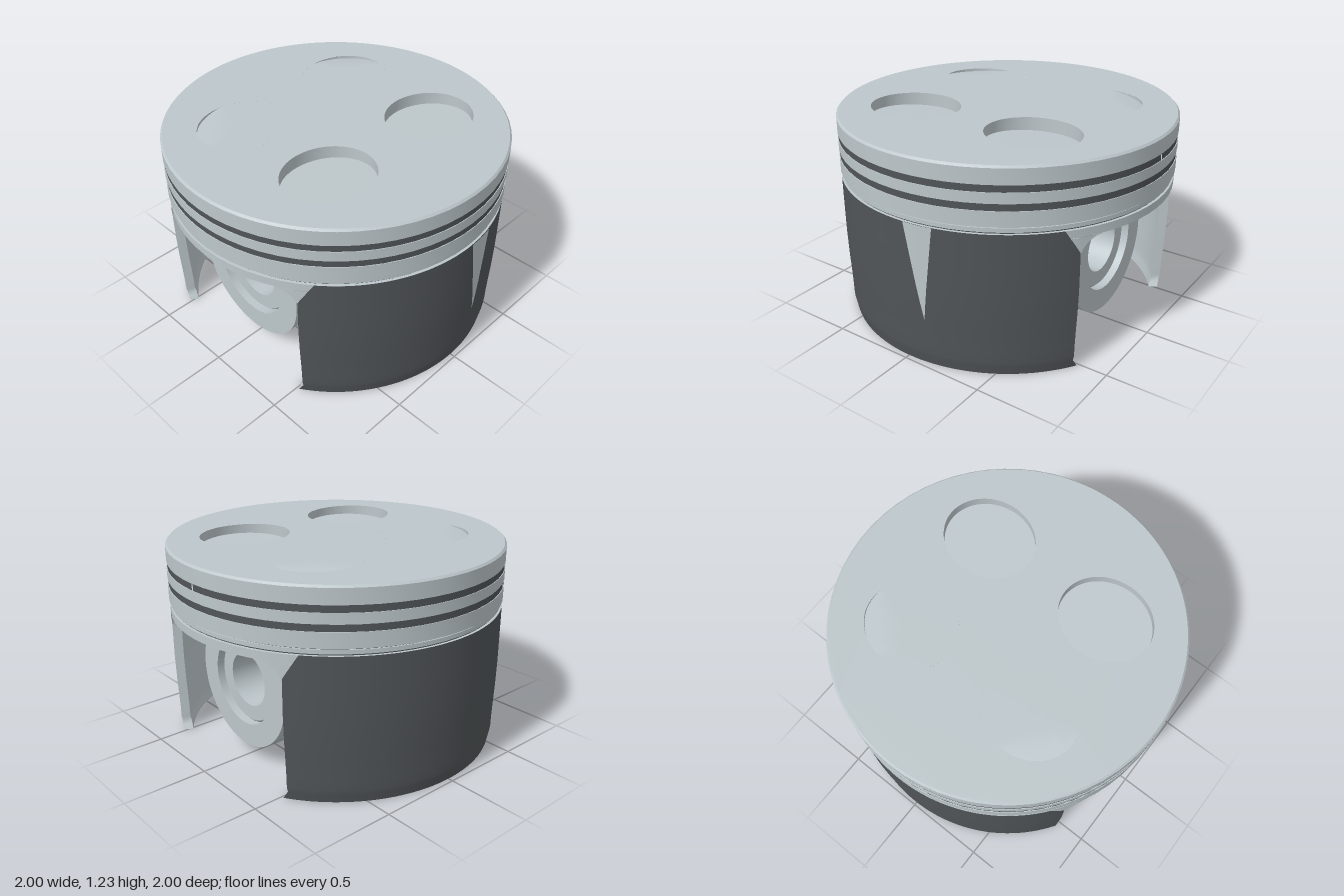
import * as THREE from 'three';
import { toCreasedNormals } from 'three/addons/utils/BufferGeometryUtils.js';

const metal = new THREE.MeshStandardMaterial({ color: 0xbdc7cb });
metal.name = 'bare metal';
const coating = new THREE.MeshStandardMaterial({ color: 0x515558 });
coating.name = 'dark coating';

function add(parent, name, geometry, material) {
  const mesh = new THREE.Mesh(geometry, material);
  mesh.name = name;
  parent.add(mesh);
  return mesh;
}

// Grid surface from f(u, v) -> [x, y, z]; vs lists the v values
function patch(f, nu, vs) {
  const pos = [], idx = [], w = nu + 1;
  vs.forEach((v, j) => {
    for (let i = 0; i <= nu; i++) {
      pos.push(...f(i / nu, v));
      if (i < nu && j < vs.length - 1) {
        const a = j * w + i;
        idx.push(a, a + 1, a + w + 1, a, a + w + 1, a + w);
      }
    }
  });
  const g = new THREE.BufferGeometry();
  g.setAttribute('position', new THREE.Float32BufferAttribute(pos, 3));
  g.setIndex(idx);
  g.computeVertexNormals();
  return g;
}

function lathe(points, start = 0, length = Math.PI * 2) {
  const profile = points.map(([r, y]) => new THREE.Vector2(r, y));
  return toCreasedNormals(new THREE.LatheGeometry(profile, 64, start, length), 0.5);
}

// Hollow cylinder lying along x, from x = a to x = b
function tubeX(ri, ro, a, b, chamfer = 0) {
  return lathe([[ri, a], [ro - chamfer, a], [ro, a + chamfer], [ro, b - chamfer], [ro - chamfer, b], [ri, b], [ri, a]])
    .rotateZ(-Math.PI / 2);
}

// Skirt rules: outer radius, side cut and coating limit by height
const { lerp, smoothstep } = THREE.MathUtils;
const THICK = 0.055, FILLET = 0.12, CUT = 0.545;
function outerR(y) {
  if (y < 0.08) return lerp(0.97, 0.985, y / 0.08);
  return lerp(0.985, 0.997, smoothstep(y, 0.08, 0.5));
}
function cutZ(y) {
  if (y < 0.05) return lerp(0.515, CUT, y / 0.05);
  const d = Math.min(Math.max(y - 0.69, 0), FILLET);
  return CUT - FILLET + Math.sqrt(FILLET * FILLET - d * d);
}
const coatZ = y => y < 0.72 ? cutZ(y) : CUT + (y - 0.72) / 0.14 * 0.073;
const angle = (z, y) => Math.acos(z / outerR(y));
const polar = (r, a, y) => [r * Math.sin(a), y, r * Math.cos(a)];

function makeSkirt() {
  const g = new THREE.Group();
  const ys = [0, 0.025, 0.05, 0.08, 0.15, 0.25, 0.35, 0.5, 0.69, 0.72, 0.74, 0.76, 0.78, 0.795, 0.805, 0.81, 0.86];
  const upper = ys.filter(y => y >= 0.72 && y <= 0.81);
  const edge = y => angle(cutZ(y), y);
  add(g, 'skirtCoating', patch((u, y) => polar(outerR(y), (2 * u - 1) * angle(coatZ(y), y), y), 48, ys), coating);
  add(g, 'skirtInside', patch((u, y) => polar(outerR(y) - THICK, (1 - 2 * u) * edge(y), y), 48, ys), metal);
  add(g, 'skirtBottom', patch((u, v) => polar(outerR(0) - THICK * (1 - v), (2 * u - 1) * edge(0), 0), 48, [0, 1]), coating);
  for (const s of [-1, 1]) {
    // Radial cut face and the bare corner beside the coating
    add(g, 'skirtEdge', patch((u, y) =>
      polar(outerR(y) - THICK * (s > 0 ? u : 1 - u), s * edge(y), y), 1, ys), metal);
    add(g, 'skirtCorner', patch((u, y) => {
      const t = s > 0 ? u : 1 - u;
      return polar(outerR(y), s * lerp(angle(coatZ(y), y), edge(y), t), y);
    }, 4, upper), metal);
  }
  return g;
}

export function createModel() {
  const model = new THREE.Group();
  model.name = 'piston';

  // Crown body: thin shell, hollow underneath, with three ring grooves
  const CEILING = 1.11;
  const profile = [[0, CEILING], [0.88, CEILING], [0.92, CEILING - 0.015], [0.937, CEILING - 0.05],
    [0.937, 0.81], [0.995, 0.81], [0.995, 0.858]];
  for (const [a, b, next] of [[0.858, 0.902, 0.99], [0.99, 1.03, 1.09], [1.09, 1.13, 1.218]])
    profile.push([0.965, a], [0.965, b], [1, b], [1, next]);
  profile.push([0.988, 1.23]);
  add(model, 'crown', lathe(profile), metal);

  // Compression rings with a narrow end gap
  for (const [y, phi] of [[1.09, Math.PI / 2], [0.99, Math.PI * 1.168]])
    add(model, 'compressionRing',
      lathe([[0.965, y], [0.996, y], [0.996, y + 0.04], [0.965, y + 0.04]], phi + 0.006, Math.PI * 2 - 0.012), coating);
  // Oil ring between two dark rails
  add(model, 'oilRing', lathe([[0.965, 0.868], [0.988, 0.868], [0.988, 0.892], [0.965, 0.892]]), metal);
  for (const y of [0.859, 0.892])
    add(model, 'oilRingRail', lathe([[0.965, y], [0.98, y], [0.98, y + 0.009], [0.965, y + 0.009]]), coating);

  // Top face with two deep pockets and two that only bite at their outer corner
  const TOP = 1.23, RX = 0.277, RZ = 0.243;
  const top = new THREE.Shape().absarc(0, 0, 0.988, 0, Math.PI * 2);
  for (const s of [-1, 1]) {
    for (const cz of [0.353, -0.335]) {
      const cx = s * 0.41;
      top.holes.push(new THREE.Path().absellipse(cx, -cz, RX, RZ, 0, Math.PI * 2));
      const depth = (dx, dz) => cz > 0 ? 0.066 - 0.05 * dz : 0.12 * Math.max(0, s * dx - dz - 0.22);
      const point = (u, k, drop) => {
        const t = u * Math.PI * 2, dx = k * RX * Math.cos(t), dz = -k * RZ * Math.sin(t);
        return [cx + dx, TOP - drop * depth(dx, dz), cz + dz];
      };
      add(model, 'pocketWall', patch((u, v) => point(u, 1, v), 64, [0, 1]), metal);
      add(model, 'pocketFloor', patch((u, v) => point(u, v, 1), 64, [1, 0.75, 0.5, 0.25, 0]), metal);
    }
  }
  add(model, 'topFace', new THREE.ShapeGeometry(top, 64).rotateX(-Math.PI / 2).translate(0, TOP, 0), metal);

  // Front and back skirts
  for (const turn of [0, Math.PI]) {
    const skirt = makeSkirt();
    skirt.name = turn ? 'backSkirt' : 'frontSkirt';
    skirt.rotation.y = turn;
    model.add(skirt);
  }
  // Bare wedge on the front skirt
  add(model, 'frontWedge', patch((u, y) => {
    const t = (y - 0.29) / 0.57, x = 0.14 + t * lerp(-0.105, 0.07, u), r = outerR(y) + 0.003;
    return [x, y, Math.sqrt(r * r - x * x)];
  }, 6, [0.29, 0.35, 0.4, 0.5, 0.65, 0.86]), metal);

  // Pin bosses, their ribs up to the crown, and the hollow pin
  const RIB_BOTTOM = 0.69;
  for (const s of [-1, 1]) {
    const boss = add(model, 'pinBoss', tubeX(0.26, 0.395, 0.35, 0.71), metal);
    boss.position.y = 0.48;
    boss.rotation.y = s > 0 ? 0 : Math.PI;
    for (const z of [-0.255, 0.255])
      add(model, 'bossRib', new THREE.BoxGeometry(0.3, CEILING - RIB_BOTTOM, 0.12)
        .translate(s * 0.52, (CEILING + RIB_BOTTOM) / 2, z), metal);
  }
  add(model, 'wristPin', tubeX(0.16, 0.26, -0.67, 0.67, 0.012), metal).position.y = 0.48;
  return model;
}
